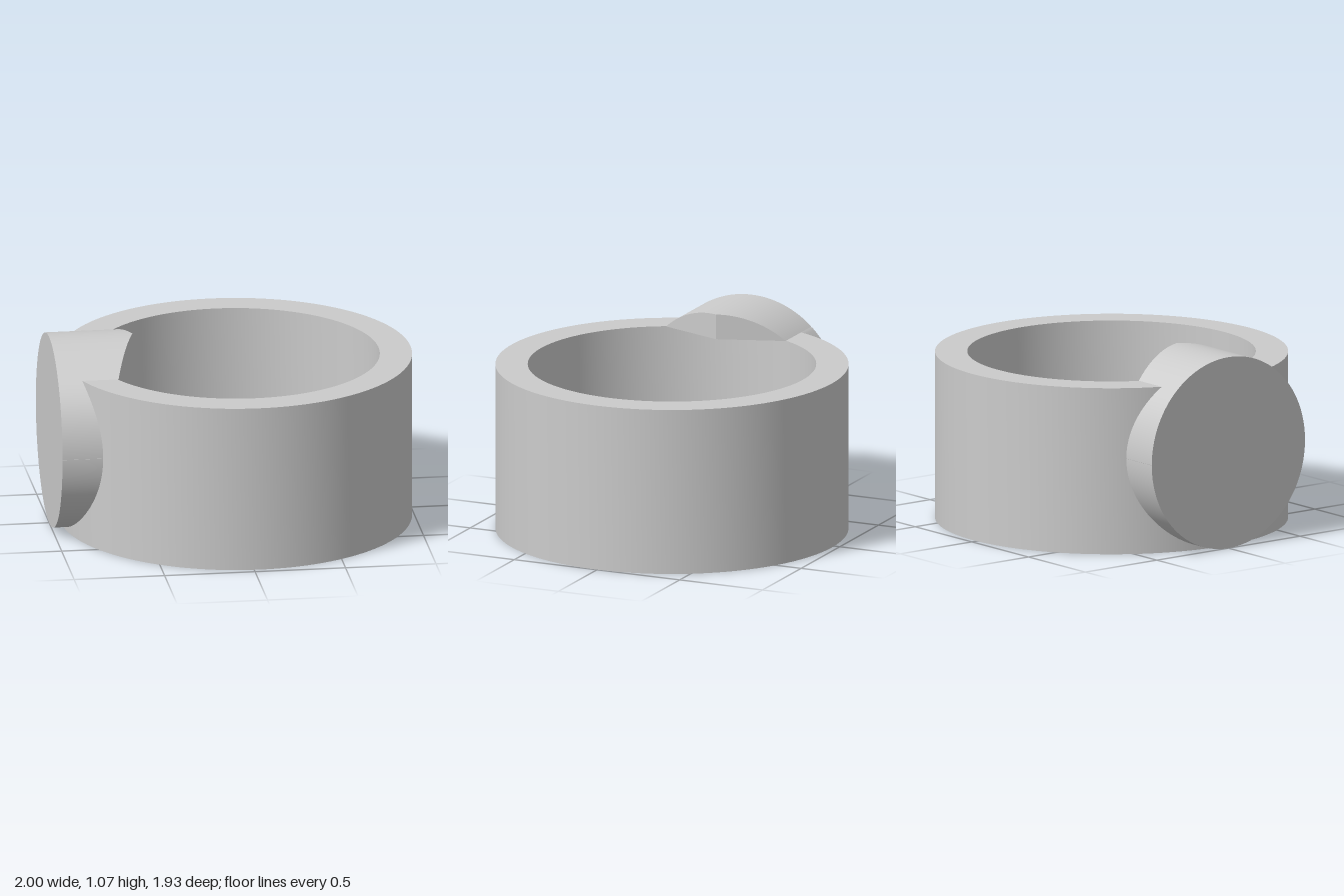
import * as THREE from 'three';
import { toCreasedNormals } from 'three/addons/utils/BufferGeometryUtils.js';

const CX = 0.03, HEIGHT = 0.93;      // cup centre and rim height
const PIPE_R = 0.535, PIPE_END = -1; // side pipe radius, outer end

// Solid lofted along z from four-cornered sections in x and y
function loft(count, maxAngle, section) {
  const positions = [], index = [];
  for (let i = 0; i <= count; i++) {
    const angle = maxAngle * (2 * i / count - 1);
    const z = PIPE_R * Math.sin(angle);
    const half = PIPE_R * Math.cos(angle);
    for (const [x, y] of section(z, half)) positions.push(x, y, z);
    if (i === count) break;
    for (let j = 0; j < 4; j++) {
      const k = (j + 1) % 4, a = i * 4, b = a + 4;
      index.push(a + j, b + j, b + k, a + j, b + k, a + k);
    }
  }
  const geometry = new THREE.BufferGeometry();
  geometry.setAttribute('position', new THREE.Float32BufferAttribute(positions, 3));
  geometry.setIndex(index);
  return geometry;
}

const block = (x, lo, hi) => [[PIPE_END, lo], [PIPE_END, hi], [x, hi], [x, lo]];

export function createModel() {
  const group = new THREE.Group();
  const material = new THREE.MeshStandardMaterial({ color: 0xcccccc });
  const add = (name, geometry) => {
    const mesh = new THREE.Mesh(toCreasedNormals(geometry, 0.5), material);
    mesh.name = name;
    group.add(mesh);
    return mesh;
  };

  // Round cup with a stepped bore and a closed bottom
  const profile = [
    [0, 0], [0.967, 0], [0.967, HEIGHT], [0.79, HEIGHT],
    [0.79, 0.36], [0.635, 0.36], [0.635, 0.18], [0, 0.18],
  ].map(([x, y]) => new THREE.Vector2(x, y));
  add('cup', new THREE.LatheGeometry(profile, 128)).position.x = CX;

  // Pipe below the rim, ending inside the cup wall
  add('sidePipe', loft(120, Math.PI / 2 - 0.001, (z, half) => block(
    CX - Math.sqrt(0.88 ** 2 - z * z),
    PIPE_R - half,
    Math.min(HEIGHT, PIPE_R + half))));

  // Pipe above the rim, reaching over the bore with a pointed end
  const rimAngle = Math.acos((HEIGHT - PIPE_R) / PIPE_R);
  add('pipeTop', loft(60, rimAngle, (z, half) => block(
    -0.54 - 0.35 * Math.abs(z),
    HEIGHT,
    PIPE_R + half)));

  return group;
}
